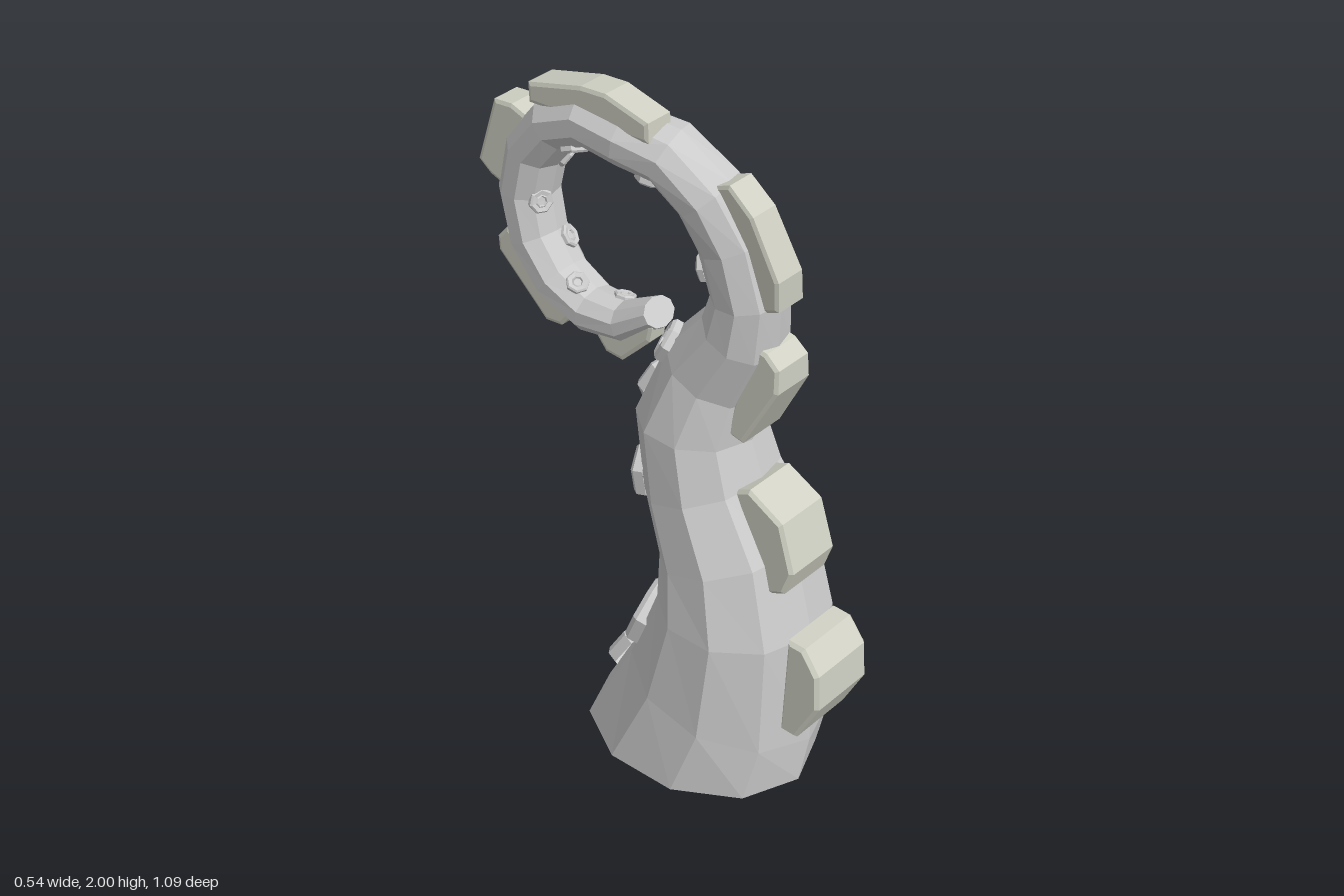
import * as THREE from 'three';

const SIDES = 10;
const skin = new THREE.MeshStandardMaterial({ color: 0xcccccc, flatShading: true, side: THREE.DoubleSide });
const shell = new THREE.MeshStandardMaterial({ color: 0xd0d1c4, flatShading: true });

// Spine stations of the stem: x, y, z, half width, half depth
const stations = [
  [-0.01, 0, 0.085, 0.277, 0.35], [0.015, 0.21, 0.167, 0.27, 0.292],
  [0.02, 0.5, 0.21, 0.25, 0.232], [0.02, 0.69, 0.18, 0.228, 0.207],
  [0.01, 0.88, 0.1, 0.2, 0.18], [0, 1.06, 0.07, 0.18, 0.17],
  [0.01, 1.23, 0.12, 0.147, 0.145], [0, 1.38, 0.215, 0.12, 0.115],
  [-0.01, 1.5, 0.235, 0.107, 0.1], [-0.03, 1.65, 0.2, 0.1, 0.098],
  [-0.06, 1.77, 0.14, 0.095, 0.09], [-0.09, 1.86, 0.04, 0.092, 0.083],
];
// The curl continues the spine round an ellipse, thinning at the tip
for (let k = 0; k < 10; k++) {
  const t = k / 9, a = THREE.MathUtils.degToRad(71 + 244 * t), thin = 0.036 * t ** 4;
  stations.push([-0.11 - 0.01 * t, 1.61 + 0.28 * Math.sin(a), -0.155 + 0.26 * Math.cos(a), 0.09 - thin, 0.077 - thin]);
}
const LAST = stations.length - 1;
const centres = stations.map(([x, y, z]) => new THREE.Vector3(x, y, z));

// Point of station i at angle a: 0 is +x, PI/2 the outer side of the curl
function ringPoint(i, a) {
  const t = centres[Math.min(i + 1, LAST)].clone().sub(centres[Math.max(i - 1, 0)]).normalize();
  const n = new THREE.Vector3(1, 0, 0).cross(t).normalize();
  const b = t.clone().cross(n);
  const w = stations[i][3], d = stations[i][4];
  const p = centres[i].clone().addScaledVector(b, w * Math.cos(a)).addScaledVector(n, d * Math.sin(a));
  // The foot is cut level
  if (i === 0) p.set(centres[0].x + w * Math.cos(a), 0, centres[0].z + d * Math.sin(a));
  return p;
}

function surface(u, a) {
  const i = Math.min(Math.floor(u), LAST - 1);
  return ringPoint(i, a).lerp(ringPoint(i + 1, a), u - i);
}

// Tapering curled arm, open at the base and closed at the tip
function makeArm() {
  const pos = [], index = [];
  for (let i = 0; i <= LAST; i++) {
    for (let j = 0; j < SIDES; j++) pos.push(...ringPoint(i, ((j + 0.5) / SIDES) * Math.PI * 2).toArray());
  }
  const tip = (LAST + 1) * SIDES;
  pos.push(...centres[LAST].toArray());
  for (let j = 0; j < SIDES; j++) {
    const k = (j + 1) % SIDES;
    for (let i = 0; i < LAST; i++) {
      const a = i * SIDES + j, b = i * SIDES + k, c = a + SIDES, d = b + SIDES;
      index.push(a, c, d, a, d, b);
    }
    index.push(LAST * SIDES + j, tip, LAST * SIDES + k);
  }
  const geo = new THREE.BufferGeometry();
  geo.setAttribute('position', new THREE.Float32BufferAttribute(pos, 3));
  geo.setIndex(index);
  geo.computeVertexNormals();
  const mesh = new THREE.Mesh(geo, skin);
  mesh.name = 'arm';
  return mesh;
}

// Seven-sided cup with a raised rim and a hollow centre
const cup = new THREE.LatheGeometry(
  [[1, -0.2], [1, 0.12], [0.86, 0.25], [0.52, 0.17], [0.42, 0.24], [0.34, 0.07], [0, 0.06]]
    .map(([r, h]) => new THREE.Vector2(r, h)), 7);

function makeSucker(u, side, r) {
  const a = -Math.PI / 2 + side, e = 0.02;
  const du = surface(u + e, a).sub(surface(u - e, a));
  const da = surface(u, a + e).sub(surface(u, a - e));
  const mesh = new THREE.Mesh(cup, skin);
  mesh.name = 'sucker';
  mesh.position.copy(surface(u, a));
  mesh.quaternion.setFromUnitVectors(new THREE.Vector3(0, 1, 0), du.cross(da).normalize());
  mesh.scale.setScalar(r);
  return mesh;
}

// Plates: x and half width at both ends, then four (z, y) points of the outer outline
const PLATES = [
  [0.027, 0.025, 0.112, 0.106, 0.475, 0.22, 0.545, 0.35, 0.54, 0.46, 0.49, 0.53],
  [0.015, 0.015, 0.092, 0.088, 0.415, 0.675, 0.442, 0.75, 0.4, 0.89, 0.29, 0.95],
  [0.015, 0.005, 0.082, 0.062, 0.26, 1.08, 0.365, 1.27, 0.365, 1.34, 0.325, 1.375],
  [-0.005, -0.055, 0.052, 0.045, 0.36, 1.51, 0.365, 1.6, 0.3, 1.77, 0.235, 1.84],
  [-0.123, -0.125, 0.045, 0.048, 0.035, 1.965, -0.1, 2, -0.18, 1.995, -0.355, 1.95],
  [-0.123, -0.125, 0.045, 0.048, -0.42, 1.865, -0.48, 1.86, -0.54, 1.67, -0.5, 1.64],
  [-0.125, -0.13, 0.046, 0.042, -0.485, 1.46, -0.482, 1.42, -0.32, 1.27, -0.265, 1.275],
  [-0.13, -0.132, 0.036, 0.03, -0.115, 1.255, -0.06, 1.25, 0.03, 1.34, 0.04, 1.385],
];

function makePlate([x0, x1, w0, w1, ...outline]) {
  const points = [0, 2, 4, 6].map((k) => new THREE.Vector2(outline[k], outline[k + 1]));
  const start = points[0], chord = points[3].clone().sub(start);
  // Sink the root of the plate into the arm
  const inward = new THREE.Vector2(-chord.y, chord.x).setLength(0.055);
  const root = [points[3].clone().add(inward), start.clone().add(inward)];
  const geo = new THREE.ExtrudeGeometry(new THREE.Shape([...points, ...root]), {
    depth: 1.8, bevelThickness: 0.1, bevelSize: 0.01, bevelOffset: -0.01, bevelSegments: 1,
  });
  geo.translate(0, 0, -0.9).rotateY(-Math.PI / 2);
  const pos = geo.attributes.position;
  for (let i = 0; i < pos.count; i++) {
    const along = new THREE.Vector2(pos.getZ(i), pos.getY(i)).sub(start).dot(chord) / chord.lengthSq();
    const t = THREE.MathUtils.clamp(along, 0, 1);
    pos.setX(i, THREE.MathUtils.lerp(x0, x1, t) + pos.getX(i) * THREE.MathUtils.lerp(w0, w1, t));
  }
  geo.computeVertexNormals();
  const mesh = new THREE.Mesh(geo, shell);
  mesh.name = 'backPlate';
  return mesh;
}

export function createModel() {
  const model = new THREE.Group();
  model.name = 'tentacle';
  model.add(makeArm());

  // Two staggered columns of suckers on the inner side, shrinking towards the tip
  const suckers = new THREE.Group();
  suckers.name = 'suckers';
  [[0.5, 0.1, 0.1], [1.4, -0.32, 0.1], [2.75, 0.4, 0.09], [4.1, -0.3, 0.088], [5.1, 0.2, 0.085], [6, -0.45, 0.06]]
    .forEach((s) => suckers.add(makeSucker(...s)));
  for (let k = 0; k < 11; k++) {
    suckers.add(makeSucker(7.3 + k * 1.25, k % 2 ? -0.4 : 0.4, 0.045 - k * 0.0015));
  }
  model.add(suckers);

  // Armour plates down the outer side
  const plates = new THREE.Group();
  plates.name = 'backPlates';
  PLATES.forEach((p) => plates.add(makePlate(p)));
  model.add(plates);
  return model;
}
